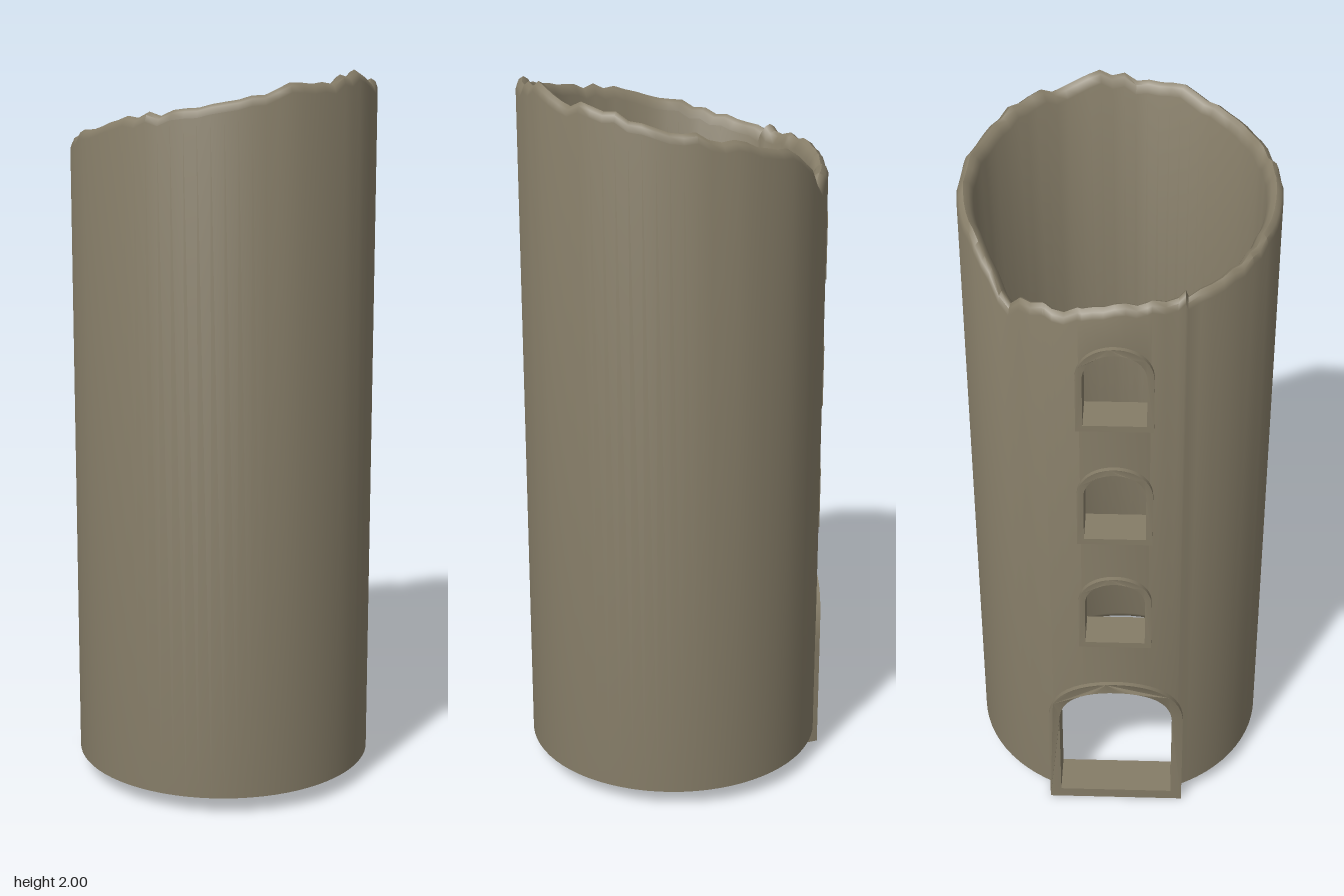
import * as THREE from 'three';
import { toCreasedNormals } from 'three/addons/utils/BufferGeometryUtils.js';

const R = 0.418, CZ = 0.006, BASE = 0.05;
const stone = new THREE.MeshStandardMaterial({ color: 0x857c67 });
stone.name = 'weathered stone';

// arched openings up the back: half width, frame thickness, bottom, spring line
const openings = [{ name: 'doorFrame', half: 0.195, t: 0.032, bottom: 0, spring: 0.32 }];
for (let i = 0; i < 3; i++) {
  const top = 0.91 + i * 0.375;
  openings.push({ name: 'windowFrame', half: 0.1, t: 0.018, bottom: top - 0.26, spring: top - 0.1 });
}
for (const o of openings) o.cut = o.half - o.t / 2;
const CUT = openings[0].cut;

let seed = 7;
const rand = () => (seed = (seed * 16807) % 2147483647) / 2147483647;

// vertical column edges: set by x across the openings, by angle elsewhere
function place(col, r, y) {
  if (col.x !== undefined) return [col.x, y, CZ - Math.sqrt(r * r - col.x * col.x)];
  const a0 = Math.asin(CUT / r), a = a0 + col.t * (2 * Math.PI - 2 * a0);
  return [r * Math.sin(a), y, CZ - r * Math.cos(a)];
}

// broken rim: slopes down to the back, with a front peak and a notch
function rimHeight(col) {
  const [x, , z] = place(col, R, 0);
  const a = Math.atan2(x, -z);
  const bump = (c, w) => Math.exp(-(((a - c) / w) ** 2));
  return 1.873 + 0.245 * z + (x < 0 ? -0.08 * Math.sin(a) ** 2 * Math.max(z, 0) : 0)
    + 0.025 * bump(2.97, 0.1) - 0.085 * bump(0.75, 0.14) - 0.04 * bump(0.4, 0.28)
    + (rand() - 0.5) * 0.024;
}

function wallGeometry() {
  const cols = [];
  const w = openings[1].cut;
  for (const x of [-CUT, -0.172, -0.155, -0.125, -w, -w * 0.88, -w * 0.6, -w * 0.3]) cols.push({ x });
  cols.push({ x: 0 });
  for (let i = 7; i >= 0; i--) cols.push({ x: -cols[i].x });
  for (let i = 1; i < 64; i++) cols.push({ t: i / 64 });
  for (const c of cols) c.h = rimHeight(c);

  const pos = [];
  const quad = (c0, c1, p0, q0, p1, q1) => {
    const a = place(c0, ...p0), d = place(c0, ...q0), b = place(c1, ...p1), c = place(c1, ...q1);
    pos.push(...a, ...d, ...c, ...a, ...c, ...b);
  };
  const inner = y => [0.34 + 0.035 * Math.min(1, Math.max(0, (y - 0.08) / 1.75)), y];
  const rim = c => [[R, c.h - 0.025], [0.412, c.h - 0.008], [0.4, c.h], [0.387, c.h - 0.007], inner(c.h - 0.028)];
  const foot = [[0.34, 0.08], [0.35, 0.06], [0.37, BASE], [R, BASE]];

  cols.forEach((c0, i) => {
    const c1 = cols[(i + 1) % cols.length];
    const isBack = c0.x !== undefined && c1.x !== undefined;
    const holes = isBack ? openings.filter(o => Math.abs(c0.x + c1.x) / 2 < o.cut) : [];
    // heights where the wall starts and stops along one column edge
    const levels = c => {
      const l = [BASE];
      for (const o of holes) {
        l.push(o.bottom + o.t / 2, o.spring + Math.sqrt(Math.max(0, o.cut ** 2 - c.x ** 2)));
      }
      return [...l, c.h];
    };
    const l0 = levels(c0), l1 = levels(c1);
    for (let k = holes.length ? 2 : 0; k < l0.length; k += 2) {
      const last = k + 2 >= l0.length;
      const end = (l, d) => l[k + 1] - (last ? d : 0);
      quad(c0, c1, [R, l0[k]], [R, end(l0, 0.025)], [R, l1[k]], [R, end(l1, 0.025)]);
      quad(c0, c1, inner(end(l0, 0.028)), inner(Math.max(l0[k], 0.08)),
        inner(end(l1, 0.028)), inner(Math.max(l1[k], 0.08)));
    }
    const r0 = rim(c0), r1 = rim(c1);
    for (let k = 0; k < 4; k++) quad(c0, c1, r0[k], r0[k + 1], r1[k], r1[k + 1]);
    if (!holes.length) {
      for (let k = 0; k < 3; k++) quad(c0, c1, foot[k], foot[k + 1], foot[k], foot[k + 1]);
    }
  });
  const g = new THREE.BufferGeometry();
  g.setAttribute('position', new THREE.Float32BufferAttribute(pos, 3));
  return toCreasedNormals(g, 0.9);
}

// arched frame with a straight sill, bent to follow the round wall
function frameGeometry({ half, t, bottom, spring }) {
  const outline = (target, w, y) => {
    target.moveTo(-w, y);
    target.lineTo(w, y);
    target.lineTo(w, spring);
    target.absarc(0, spring, w, 0, Math.PI, false);
    target.lineTo(-w, y);
    return target;
  };
  const shape = outline(new THREE.Shape(), half, bottom);
  shape.holes.push(outline(new THREE.Path(), half - t, bottom + t));
  const g = new THREE.ExtrudeGeometry(shape, { depth: 1, bevelEnabled: false, curveSegments: 12 });
  const p = g.attributes.position;
  for (let i = 0; i < p.count; i++) {
    const x = p.getX(i), dy = p.getY(i) - spring;
    const bx = dy <= 1e-5 ? half : half * Math.abs(x) / Math.hypot(x, dy);
    const r = p.getZ(i) > 0.5 ? 0.33 : 0.431;
    p.setZ(i, CZ - Math.sqrt(r * r - bx * bx));
  }
  return toCreasedNormals(g, 0.5);
}

export function createModel() {
  const model = new THREE.Group();
  model.name = 'ruinedTower';
  const add = (name, geometry) => {
    const mesh = new THREE.Mesh(geometry, stone);
    mesh.name = name;
    model.add(mesh);
  };
  add('towerWall', wallGeometry());
  openings.forEach((o, i) => add(i ? o.name + i : o.name, frameGeometry(o)));
  return model;
}
